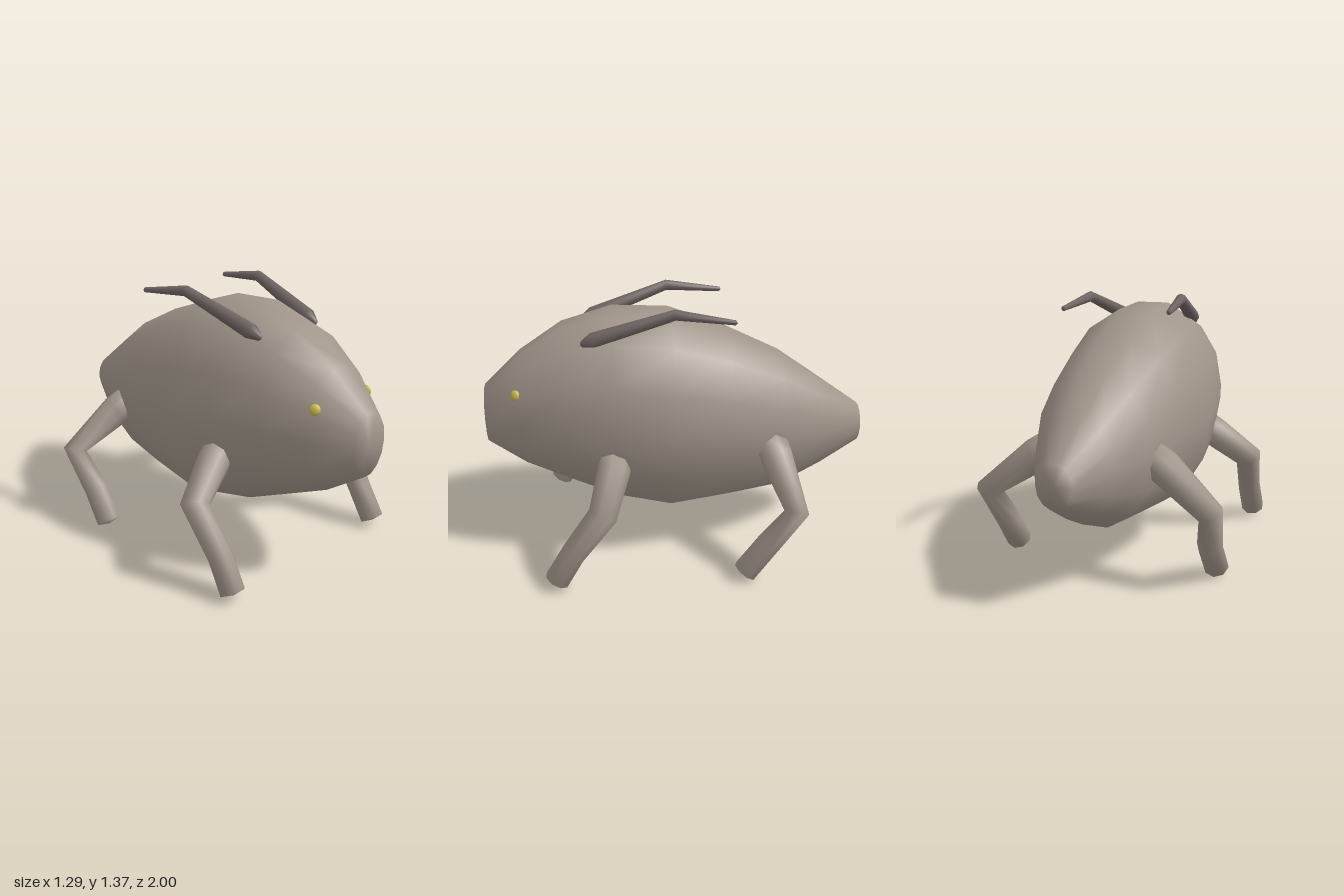
import * as THREE from 'three';

const skin = new THREE.MeshStandardMaterial({ color: 0xa0958a });
skin.name = 'taupe skin';
const horn = new THREE.MeshStandardMaterial({ color: 0x6f6563 });
horn.name = 'dark horn';
const gold = new THREE.MeshStandardMaterial({ color: 0xc8b850 });
gold.name = 'gold eye';

// Smooth closed skin over rings of equal point count, with a centre point at each end
function loft(rings, startCentre, endCentre) {
  const n = rings[0].length;
  const points = [...rings.flat(), startCentre, endCentre];
  const a = points.length - 2, b = points.length - 1, last = (rings.length - 1) * n;
  const index = [];
  for (let j = 0; j < n; j++) {
    const k = (j + 1) % n;
    for (let i = 0; i < last; i += n) {
      index.push(i + j, i + k, i + n + j, i + k, i + n + k, i + n + j);
    }
    index.push(a, k, j, b, last + j, last + k);
  }
  const g = new THREE.BufferGeometry().setFromPoints(points);
  g.setIndex(index);
  g.computeVertexNormals();
  return g;
}

// Tapered limb along stations [x, y, z, radius]; side = -1 mirrors it
function limb(stations, side, sides, bulge) {
  const p = stations.map(s => new THREE.Vector3(s[0] * side, s[1], s[2]));
  const dirs = p.slice(1).map((q, i) => q.clone().sub(p[i]).normalize());
  const tangents = p.map((_, i) => {
    const before = dirs[Math.max(i - 1, 0)], after = dirs[Math.min(i, dirs.length - 1)];
    return before.clone().add(after).normalize();
  });
  const turn = new THREE.Quaternion();
  const u = new THREE.Vector3(0, 1, 0).cross(tangents[0]).normalize();
  const rings = p.map((c, i) => {
    if (i) u.applyQuaternion(turn.setFromUnitVectors(tangents[i - 1], tangents[i]));
    const v = tangents[i].clone().cross(u);
    return Array.from({ length: sides }, (_, j) => {
      const t = j / sides * Math.PI * 2, r = stations[i][3];
      return c.clone().addScaledVector(u, r * Math.cos(t)).addScaledVector(v, r * Math.sin(t));
    });
  });
  const end = p.length - 1;
  return loft(rings,
    p[0].clone().addScaledVector(tangents[0], -bulge),
    p[end].clone().addScaledVector(tangents[end], bulge));
}

export function createModel() {
  const model = new THREE.Group();
  const add = (name, geometry, material) => {
    const mesh = new THREE.Mesh(geometry, material);
    mesh.name = name;
    model.add(mesh);
    return mesh;
  };

  // Body sections from tail to nose: z, half width, top, bottom
  const sections = [
    [-1, 0.09, 0.715, 0.505], [-0.78, 0.205, 0.87, 0.385], [-0.55, 0.307, 1.03, 0.275],
    [-0.26, 0.38, 1.17, 0.235], [0.04, 0.427, 1.28, 0.195], [0.33, 0.4, 1.297, 0.265],
    [0.59, 0.337, 1.225, 0.38], [0.81, 0.235, 1.085, 0.475], [1, 0.115, 0.91, 0.6],
  ];
  const SIDES = 14;
  const bodyRings = sections.map(([z, w, top, bottom]) => {
    const h = (top - bottom) / 2 / Math.cos(Math.PI / SIDES);
    return Array.from({ length: SIDES }, (_, j) => {
      const t = j / SIDES * Math.PI * 2;
      return new THREE.Vector3(w * Math.cos(t), (top + bottom) / 2 + h * Math.sin(t), z);
    });
  });
  add('body', loft(bodyRings, new THREE.Vector3(0, 0.61, -1), new THREE.Vector3(0, 0.755, 1)), skin);

  const frontLeg = [
    [0.27, 0.64, 0.34, 0.085], [0.37, 0.57, 0.355, 0.085], [0.55, 0.425, 0.42, 0.075],
    [0.53, 0.2, 0.575, 0.064], [0.535, 0.048, 0.665, 0.065],
  ];
  const backLeg = [
    [0.24, 0.65, -0.46, 0.09], [0.34, 0.59, -0.485, 0.088], [0.585, 0.405, -0.545, 0.066],
    [0.55, 0.2, -0.415, 0.064], [0.555, 0.046, -0.3, 0.065],
  ];
  const antenna = [
    [0.195, 1.19, 0.485, 0.016], [0.2, 1.212, 0.43, 0.04],
    [0.253, 1.345, 0.03, 0.028], [0.28, 1.305, -0.26, 0.013],
  ];

  for (const side of [1, -1]) {
    const label = side > 0 ? 'left' : 'right';
    add(label + 'FrontLeg', limb(frontLeg, side, 8, 0.015), skin);
    add(label + 'BackLeg', limb(backLeg, side, 8, 0.015), skin);
    add(label + 'Antenna', limb(antenna, side, 8, 0.01), horn);

    // Eye: flattened bead lying on the curve of the head
    const eye = add(label + 'Eye', new THREE.SphereGeometry(0.027, 12, 8), gold);
    eye.scale.z = 0.55;
    eye.position.set(0.19 * side, 0.93, 0.83);
    eye.lookAt(eye.position.x + 0.75 * side, 0.93 + 0.33, 0.83 + 0.5);
  }
  return model;
}
